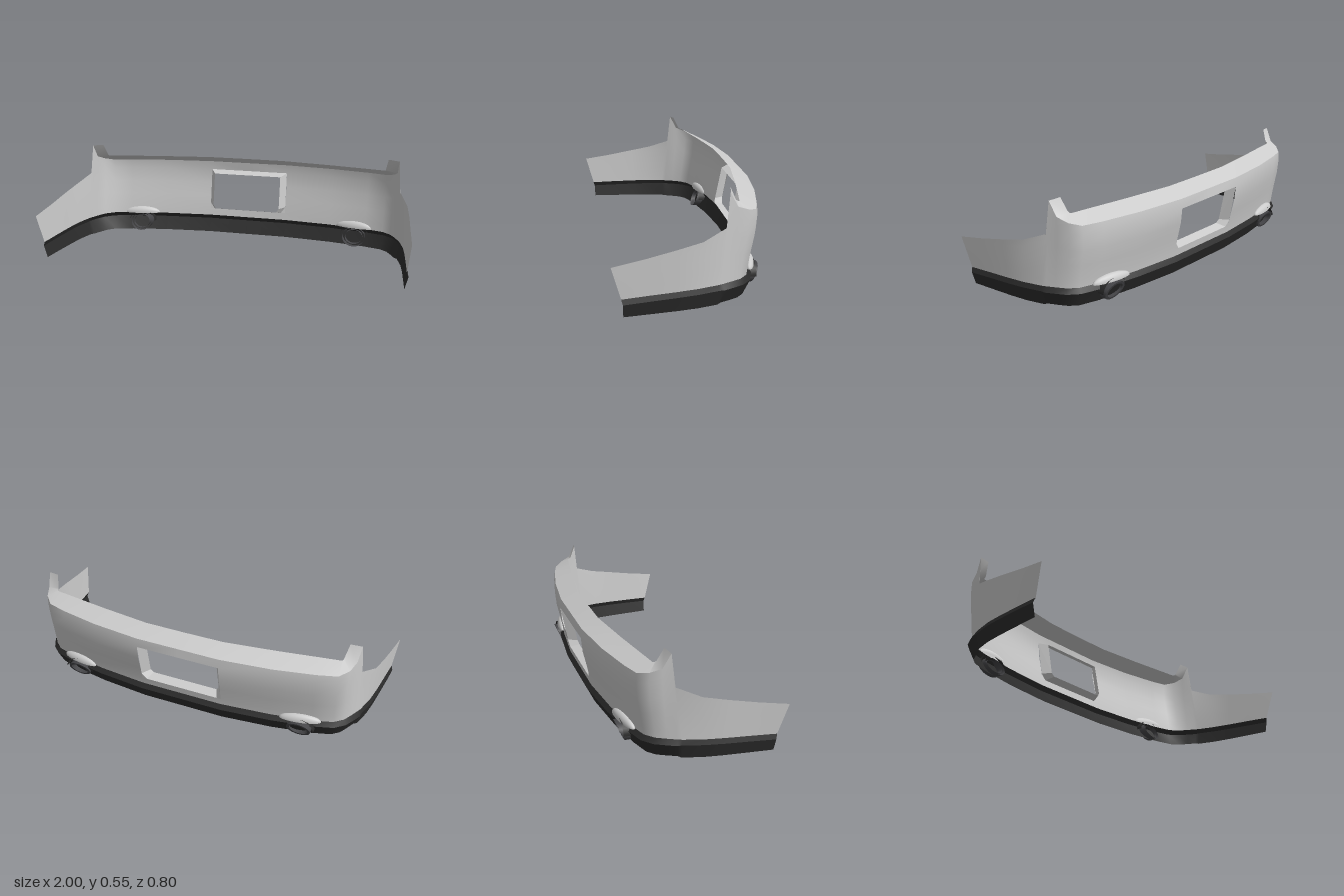
import * as THREE from 'three';

const mat = (name, color) => new THREE.MeshStandardMaterial({ name, color, side: THREE.DoubleSide });

// Half-plan stations: upper edge (x, z, y), lower edge (x, z, y), inner lip (x, z, y)
const HALF = [
  [[0, -.395, .43], [0, -.352, .105], [0, -.305, .475]],
  [[.23, -.395, .43], [.23, -.352, .105], [.22, -.303, .475]],
  [[.5, -.365, .43], [.5, -.325, .105], [.5, -.265, .474]],
  [[.72, -.32, .43], [.71, -.287, .105], [.7, -.232, .473]],
  [[.82, -.29, .43], [.815, -.255, .105], [.815, -.213, .472]],
  [[.865, -.245, .445], [.86, -.215, .105], [.818, -.205, .473]],
  [[.885, -.19, .467], [.887, -.165, .105], [.82, -.195, .48]],
  [[.895, -.152, .54], [.908, -.12, .104], [.835, -.165, .545]],
  [[.907, -.135, .375], [.917, -.1, .104]],
  [[.953, -.02, .33], [.943, 0, .102]],
  [[.97, .1, .305], [.957, .1, .099]],
  [[.985, .25, .275], [.97, .23, .095]],
  [[1, .4, .25], [.982, .355, .09]],
].map((s) => s.map(([x, z, y]) => new THREE.Vector3(x, y, z)));

const mirrorX = (p) => new THREE.Vector3(-p.x, p.y, p.z);

// Turns half-columns of points into a mirrored surface; skip(x, row) leaves holes
function sheet(half, skip = () => false) {
  const cols = [...half.slice(1).reverse().map((c) => c.map(mirrorX)), ...half];
  const n = cols[0].length, index = [];
  for (let i = 0; i < cols.length - 1; i++) {
    for (let j = 0; j < n - 1; j++) {
      if (skip((cols[i][0].x + cols[i + 1][0].x) / 2, j)) continue;
      const a = i * n + j, b = a + n;
      index.push(a, a + 1, b, b, a + 1, b + 1);
    }
  }
  const g = new THREE.BufferGeometry().setFromPoints(cols.flat());
  g.setIndex(index);
  g.computeVertexNormals();
  return g;
}

// Slants the ends of a tube lying along z so the top reaches further back
function slant(g, k) {
  const p = g.attributes.position;
  for (let i = 0; i < p.count; i++) p.setZ(i, p.getZ(i) - k * p.getY(i));
  g.computeVertexNormals();
  return g;
}

export function createModel() {
  const paint = mat('grey paint', 0xcccccc);
  const trim = mat('black trim', 0x2b2b2b);
  const metal = mat('dark metal', 0x454548);
  const model = new THREE.Group();
  model.name = 'rearBumper';
  const add = (name, geometry, material) => {
    const m = new THREE.Mesh(geometry, material);
    m.name = name;
    model.add(m);
    return m;
  };

  // Curved outer skin with the plate opening left out
  const rows = [0, .123, .36, .6, .846, 1];
  const skinPoint = ([top, low], t) => {
    const p = low.clone().lerp(top, t);
    const rear = THREE.MathUtils.clamp((-.13 - top.z) / .2, 0, 1);
    p.z -= .016 * rear * Math.sin(Math.PI * t * t);
    return p;
  };
  const isOpening = (x, j) => Math.abs(x) < .22 && j >= 1 && j <= 3;
  add('bumperSkin', sheet(HALF.map((s) => rows.map((t) => skinPoint(s, t))), isOpening), paint);

  // Upper ledge that folds forward and climbs the corner tabs
  add('upperLedge', sheet(HALF.slice(0, 8).map((s) => [s[0], s[2]])), paint);

  // Lower skirt: a short lip outward, then tucked under
  const lows = HALF.map((s) => s[1]);
  const outward = lows.map((p, i) => {
    const a = lows[Math.max(i - 1, 0)], b = lows[Math.min(i + 1, lows.length - 1)];
    return i ? new THREE.Vector3(b.z - a.z, 0, a.x - b.x).normalize() : new THREE.Vector3(0, 0, -1);
  });
  const skirtPoint = (i, out, y) => {
    const k = i > 7 ? .5 : 1;
    const p = lows[i].clone().addScaledVector(outward[i], out * k);
    p.y = y;
    return p;
  };
  const skirt = lows.map((p, i) => {
    const end = Math.max(0, (i - 7) / 5);
    const crease = skirtPoint(i, .018, p.y - .025);
    const bottom = skirtPoint(i, -.017, .005 * (1 - end));
    crease.z -= .006 * end;
    bottom.z -= .01 * end;
    return [bottom, crease, p];
  });
  add('skirtLip', sheet(skirt.map((c) => c.slice(1))), trim);
  add('skirtPanel', sheet(skirt.map((c) => c.slice(0, 2))), trim);

  // Tapered frame running forward from the plate opening
  const corner = (x, y, z) => new THREE.Vector3(x, y, z);
  const skinZ = (y) => skinPoint(HALF[0], (y - .105) / .325).z;
  const outer = [[.23, .38], [.23, .18], [.205, .145], [-.205, .145], [-.23, .18], [-.23, .38]];
  const inner = [[.2, .365], [.2, .18], [.185, .16], [-.185, .16], [-.2, .18], [-.2, .365]];
  const frame = [];
  outer.forEach(([x, y], i) => {
    const k = (i + 1) % 6;
    const a = corner(x, y, skinZ(y)), b = corner(...outer[k], skinZ(outer[k][1]));
    const c = corner(...inner[i], skinZ(y) + .05), d = corner(...inner[k], skinZ(outer[k][1]) + .05);
    frame.push(a, c, b, b, c, d);
  });
  // Small fillers at the two clipped lower corners
  for (const s of [1, -1]) {
    const tri = [[.23, .145], [.205, .145], [.23, .18]].map(([x, y]) => corner(s * x, y, skinZ(y)));
    frame.push(...(s > 0 ? tri : tri.reverse()));
  }
  const frameGeometry = new THREE.BufferGeometry().setFromPoints(frame);
  frameGeometry.computeVertexNormals();
  add('plateFrame', frameGeometry, paint);

  // Exhaust outlets with hood and painted bulge, one on each side
  for (const s of [1, -1]) {
    const side = s > 0 ? 'left' : 'right';
    const tube = (rx, ry, length, open) => slant(
      new THREE.CylinderGeometry(1, 1, length, 20, 1, open).rotateX(Math.PI / 2).scale(rx, ry, 1), .42);
    add(side + 'ExhaustPipe', tube(.065, .05, .055, true), metal).position.set(s * .65, .055, -.3);
    add(side + 'ExhaustInnerPipe', tube(.05, .038, .045, true), metal).position.set(s * .65, .055, -.3);
    add(side + 'ExhaustRim', slant(new THREE.RingGeometry(.77, 1, 20).rotateY(Math.PI).scale(.065, .05, 1), .42), metal)
      .position.set(s * .65, .055, -.3275);
    const hood = new THREE.CylinderGeometry(1, 1, .04, 16, 1, true, Math.PI / 2, Math.PI)
      .rotateX(Math.PI / 2).scale(.08, .066, 1);
    add(side + 'ExhaustHood', hood, trim).position.set(s * .65, .058, -.308);
    const bulge = new THREE.SphereGeometry(1, 20, 8, 0, Math.PI * 2, 0, Math.PI / 2).scale(.11, .037, .028);
    const b = add(side + 'ExhaustBulge', bulge, paint);
    b.position.set(s * .65, .106, -.304);
    b.rotation.y = -s * .18;
  }
  return model;
}
